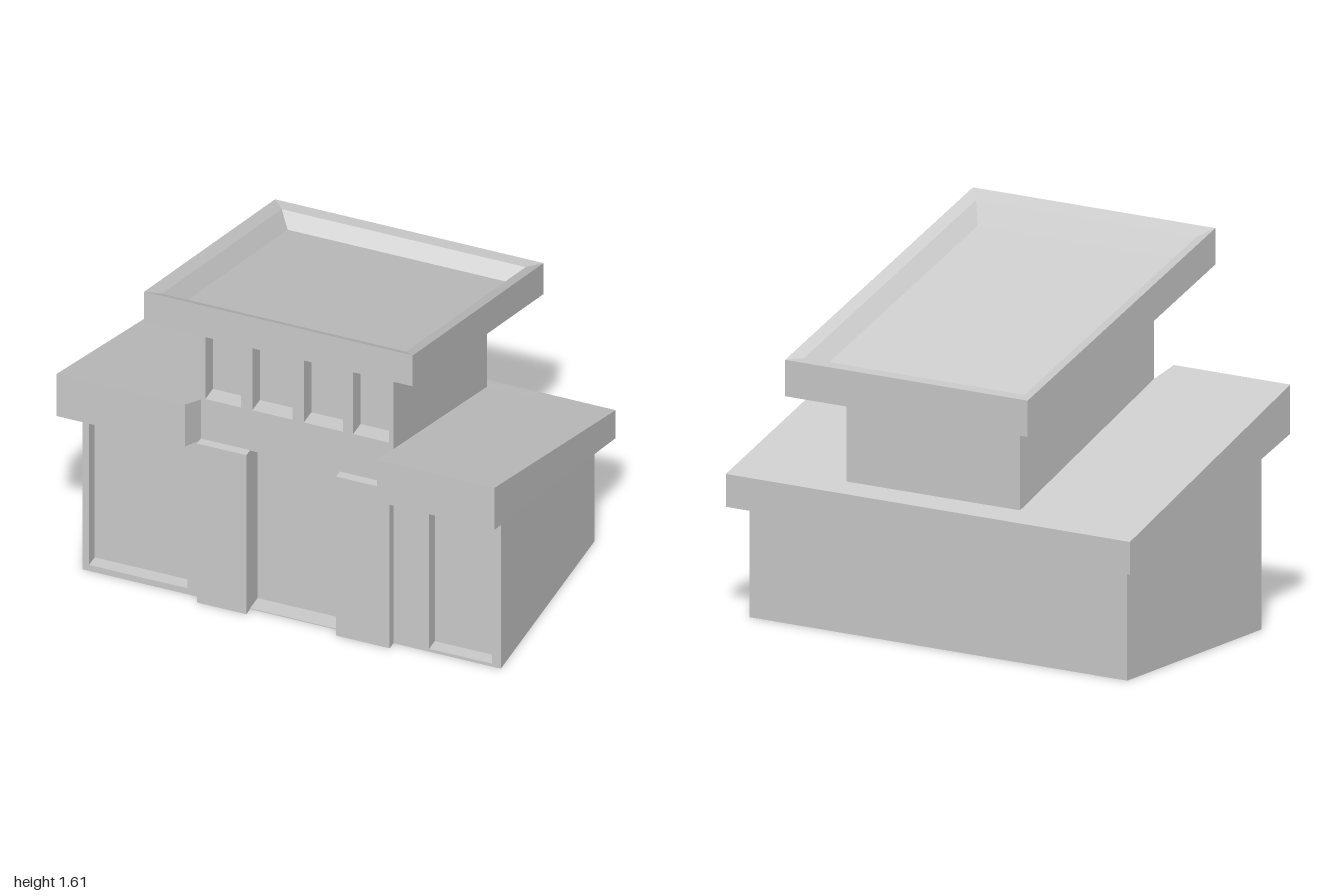
import * as THREE from 'three';

const grey = new THREE.MeshStandardMaterial({ color: 0xcccccc });

function add(parent, name, geometry) {
  const mesh = new THREE.Mesh(geometry, grey);
  mesh.name = name;
  parent.add(mesh);
  return mesh;
}

function box(parent, name, x0, x1, y0, y1, z0, z1) {
  const g = new THREE.BoxGeometry(x1 - x0, y1 - y0, z1 - z0);
  g.translate((x0 + x1) / 2, (y0 + y1) / 2, (z0 + z1) / 2);
  return add(parent, name, g);
}

// Upright solid on an [x, z] footprint whose bottom and top heights follow rules
function slopedSolid(points, bottom, top) {
  const shape = new THREE.Shape(points.map(([x, z]) => new THREE.Vector2(x, -z)));
  const g = new THREE.ExtrudeGeometry(shape, { depth: 1, bevelEnabled: false });
  g.rotateX(-Math.PI / 2);
  const p = g.attributes.position;
  for (let i = 0; i < p.count; i++) {
    const x = p.getX(i), z = p.getZ(i);
    p.setY(i, p.getY(i) > 0.5 ? top(x, z) : bottom(x, z));
  }
  g.computeVertexNormals();
  return g;
}

const rect = (x0, x1, z0, z1) => [[x0, z1], [x1, z1], [x1, z0], [x0, z0]];

// Front wall with rectangular openings [x0, x1, y0, y1]
function wall(x0, x1, y0, y1, openings, z0, z1) {
  const outline = (Kind, a, b, c, d) => new Kind([[a, c], [b, c], [b, d], [a, d]].map(q => new THREE.Vector2(...q)));
  const shape = outline(THREE.Shape, x0, x1, y0, y1);
  for (const o of openings) shape.holes.push(outline(THREE.Path, ...o));
  const g = new THREE.ExtrudeGeometry(shape, { depth: z1 - z0, bevelEnabled: false });
  return g.translate(0, 0, z0);
}

// Tray-like sloped slab from rectangular rings [inset x, inset z, height]
function traySlab(x0, x1, z0, z1, rings, plane) {
  const loops = rings.map(([ix, iz, h]) =>
    rect(x0 + ix, x1 - ix, z0 + iz, z1 - iz).map(([x, z]) => [x, plane(z) + h, z]));
  const v = [];
  const quad = (a, b, c, d) => v.push(...a, ...b, ...c, ...a, ...c, ...d);
  for (let k = 0; k + 1 < loops.length; k++) {
    for (let i = 0; i < 4; i++) {
      const j = (i + 1) % 4;
      quad(loops[k][i], loops[k][j], loops[k + 1][j], loops[k + 1][i]);
    }
  }
  quad(...loops[loops.length - 1]);
  quad(...[...loops[0]].reverse());
  const g = new THREE.BufferGeometry();
  g.setAttribute('position', new THREE.Float32BufferAttribute(v, 3));
  g.computeVertexNormals();
  return g;
}

export function createModel() {
  const model = new THREE.Group();
  model.name = 'building';
  const wallBack = 0.42, wallFront = 0.5;

  // Ground floor: core with sloping top, front wall with windows and entry recess
  const ground = new THREE.Group();
  ground.name = 'groundFloor';
  model.add(ground);
  add(ground, 'groundCore', slopedSolid(rect(-0.93, 0.94, -0.5, wallBack), () => 0, (x, z) => 0.67 + 0.28 * z));
  const windows = [[-0.9, -0.46, 0.03, 0.77], [0.62, 0.9, 0.015, 0.75]];
  const entry = [-0.18, 0.22, 0.005, 0.795];
  add(ground, 'groundFrontWall', wall(-0.93, 0.94, 0, 0.8, [...windows, entry], wallBack, wallFront));
  for (const [x0, x1, y0, y1] of windows) {
    box(ground, 'windowPane', x0, x1, y0, y1, wallBack, 0.44);
    // Slanted reveal on one side of the window
    add(ground, 'windowReveal', slopedSolid([[x1, 0.5], [x1, 0.44], [x1 - 0.025, 0.44]], () => y0, () => y1));
  }

  // Pillars beside the entry
  for (const [x0, x1] of [[-0.4, -0.18], [0.22, 0.46]]) box(ground, 'entryPillar', x0, x1, 0, 0.797, 0.5, 0.54);

  // Upper storey with a row of four recessed windows
  const upper = new THREE.Group();
  upper.name = 'upperFloor';
  model.add(upper);
  const topPlane = z => 1.245 + 0.307 * z;
  add(upper, 'upperCore', slopedSolid(rect(-0.4, 0.46, -0.5, wallBack), () => 0.5, (x, z) => topPlane(z) + 0.02));
  const upperWindows = [[-0.38, -0.22], [-0.17, 0.01], [0.06, 0.235], [0.28, 0.44]].map(([a, b]) => [a, b, 1.0, 1.34]);
  add(upper, 'upperFrontWall', wall(-0.4, 0.46, 0.8, 1.4, upperWindows, wallBack, wallFront));

  // Lower roof wraps both wings and the back
  const slope = (x, z) => (z + 0.585) / ((x < 0 ? 0.61 : 0.675) + 0.585);
  const footprint = [[-1, 0.61], [-0.425, 0.61], [-0.4, 0.5], [-0.4, -0.5], [0.46, -0.5],
    [0.46, 0.675], [0.985, 0.675], [1, -0.585], [-1, -0.585]];
  add(model, 'lowerRoof', slopedSolid(footprint,
    (x, z) => 0.48 + 0.34 * slope(x, z), (x, z) => 0.62 + 0.41 * slope(x, z)));

  // Upper roof with a raised rim around a sunken deck
  const rings = [[0, 0, 0], [0, 0, 0.155], [0.055, 0.06, 0.14], [0.11, 0.13, 0.075]];
  add(model, 'upperRoof', traySlab(-0.57, 0.63, -0.7, 0.7, rings, topPlane));
  return model;
}
